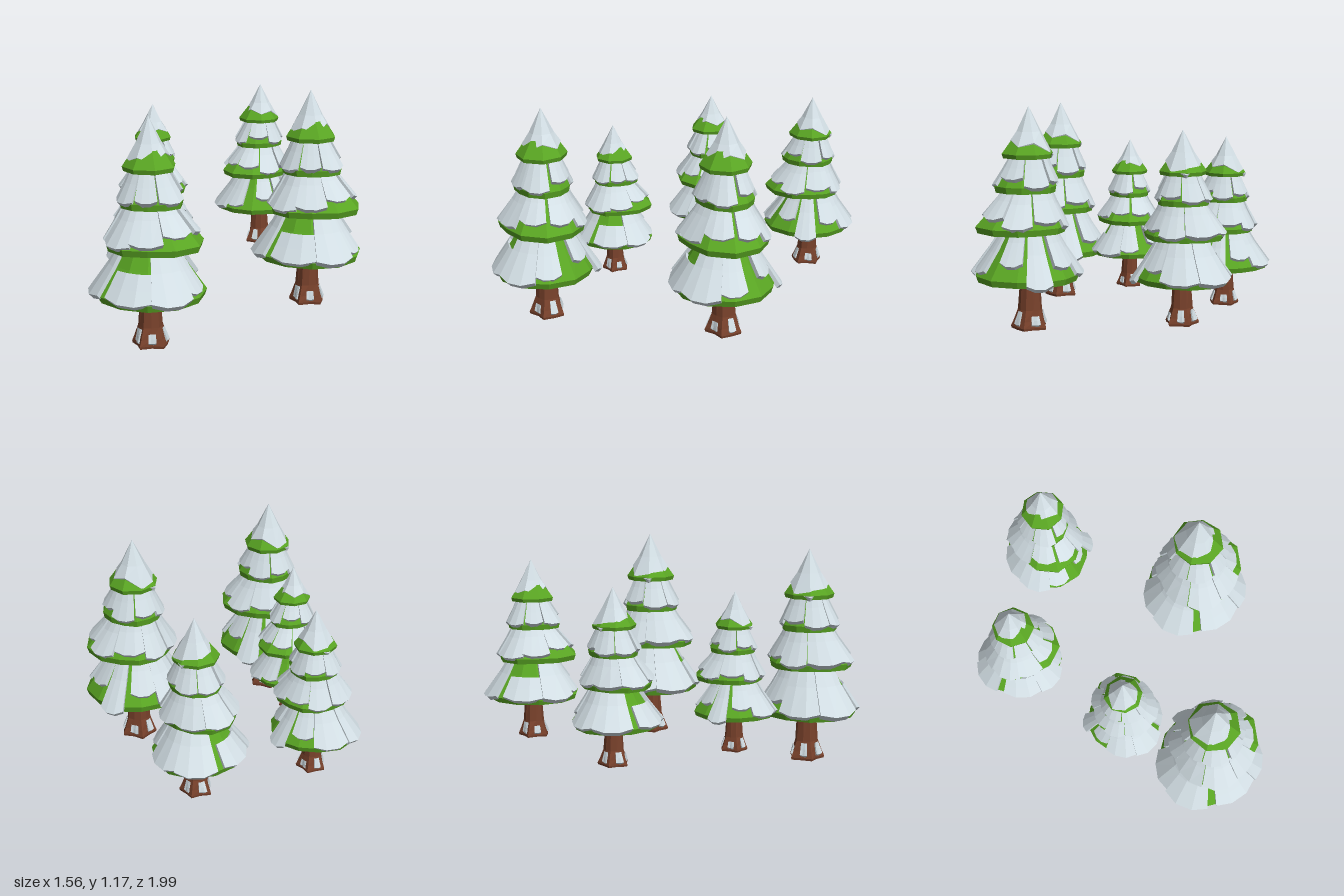
import * as THREE from 'three';

const flat = (name, color) => {
  const m = new THREE.MeshStandardMaterial({ color, flatShading: true });
  m.name = name;
  return m;
};

// Point at azimuth deg (0 = front, 90 = +x), radius r, height y
const polar = (deg, r, y) => {
  const a = THREE.MathUtils.degToRad(deg);
  return [Math.sin(a) * r, y, Math.cos(a) * r];
};

// Value from a list spread evenly round the circle
const around = (list, deg) => {
  const f = ((((deg % 360) + 360) % 360) / 360) * list.length;
  const i = Math.floor(f) % list.length;
  return THREE.MathUtils.lerp(list[i], list[(i + 1) % list.length], f - Math.floor(f));
};

const quad = (out, a, b, c, d) => out.push(...a, ...b, ...c, ...a, ...c, ...d);

function toGeometry(positions) {
  const g = new THREE.BufferGeometry();
  g.setAttribute('position', new THREE.Float32BufferAttribute(positions, 3));
  g.computeVertexNormals();
  return g;
}

// Closed skin over rings listed from top to bottom
function loft(rings) {
  const out = [];
  for (let j = 0; j < rings.length - 1; j++) {
    const n = rings[j].length;
    for (let i = 0; i < n; i++) {
      const k = (i + 1) % n;
      quad(out, rings[j + 1][i], rings[j + 1][k], rings[j][k], rings[j][i]);
    }
  }
  return toGeometry(out);
}

const ring = (n, fn, turn = 0) => Array.from({ length: n }, (_, i) => {
  const deg = turn + (i * 360) / n;
  const [r, y] = fn(deg);
  return polar(deg, r, y);
});

// Thick curved plate lying on a surface (deg, t) -> [r, y]
function addPlate(out, surface, [mid, half, t0, t1], thick) {
  const degs = [-1, -0.35, 0.35, 1];
  const grid = (lift) => [0, 0.5, 1].map((f) => degs.map((d) => {
    const corner = f === 1 && Math.abs(d) === 1 ? 0.06 : 0;
    const t = THREE.MathUtils.lerp(t0, t1 - corner, f);
    const [r, y] = surface(mid + d * half, t);
    return polar(mid + d * half, r + lift * 0.7, y + lift * 0.75);
  }));
  const o = grid(thick), n = grid(-0.012);
  for (let j = 0; j < 2; j++) {
    for (let i = 0; i < 3; i++) {
      quad(out, o[j + 1][i], o[j + 1][i + 1], o[j][i + 1], o[j][i]);
      quad(out, n[j][i], n[j][i + 1], n[j + 1][i + 1], n[j + 1][i]);
    }
    quad(out, n[j + 1][0], o[j + 1][0], o[j][0], n[j][0]);
    quad(out, n[j][3], o[j][3], o[j + 1][3], n[j + 1][3]);
  }
  for (let i = 0; i < 3; i++) {
    quad(out, n[2][i], n[2][i + 1], o[2][i + 1], o[2][i]);
    quad(out, o[0][i], o[0][i + 1], n[0][i + 1], n[0][i]);
  }
}

// Branch tiers: rim radii run round from the front; plates are [azimuth, half width, start, end]
const TIERS = [
  { name: 'bottomTier', y0: 0.58, r0: 0.085, y1: 0.285, inner: 0.4,
    rim: [0.27, 0.28, 0.285, 0.28, 0.275, 0.255, 0.26, 0.25, 0.25, 0.27, 0.275, 0.27],
    plates: [[8, 27, 0.55, 1.04], [55, 21, 0.05, 1.06], [90, 15, 0.2, 0.95], [140, 15, 0, 0.78],
      [175, 14, 0, 1.14], [214, 17, 0, 0.84], [257, 25, 0, 1.04], [306, 25, 0, 1.07]] },
  { name: 'lowerTier', y0: 0.78, r0: 0.07, y1: 0.535, inner: 0.6,
    rim: [0.24, 0.23, 0.26, 0.28, 0.26, 0.23, 0.2, 0.2, 0.19, 0.18, 0.2, 0.23],
    plates: [[-15, 24, 0, 1.02], [28, 20, 0, 0.97], [70, 20, 0, 0.8], [112, 17, 0.1, 0.84],
      [150, 19, 0, 1], [196, 24, 0, 0.92], [243, 22, 0, 1.05], [293, 27, 0, 1.04]] },
  { name: 'upperTier', y0: 0.94, r0: 0.055, y1: 0.735, inner: 0.8,
    rim: [0.155, 0.15, 0.165, 0.18, 0.165, 0.15, 0.14, 0.15, 0.14, 0.14, 0.145, 0.155],
    plates: [[-22, 25, 0.1, 1.05], [27, 19, 0.3, 1.02], [74, 24, 0.25, 1.03], [128, 24, 0.3, 0.85],
      [180, 25, 0.1, 1.04], [232, 24, 0.1, 0.95], [285, 26, 0, 1.06]] },
];

// Roots flare out in lobes
const ROOT = [0.1, 0.07, 0.1, 0.085, 0.098, 0.07, 0.1, 0.075, 0.095, 0.07];

function createTree(mats) {
  const tree = new THREE.Group();
  const add = (name, geometry, material) => {
    const mesh = new THREE.Mesh(geometry, material);
    mesh.name = name;
    tree.add(mesh);
  };

  // Trunk with flared roots
  const lobe = (deg) => around(ROOT, deg);
  add('trunk', loft([
    ring(10, () => [0.035, 0.7]),
    ring(10, () => [0.05, 0.27]),
    ring(10, (d) => [0.042 + lobe(d) * 0.22, 0.1]),
    ring(10, (d) => [0.02 + lobe(d) * 0.65, 0.045]),
    ring(10, (d) => [lobe(d), 0.012]),
    ring(10, (d) => [lobe(d) * 0.97, 0]),
    ring(10, () => [0, 0]),
  ]), mats.bark);

  // Snow caught on the roots
  const rootSnow = [];
  const rootSurface = (d, t) => [0.058 + (lobe(d) - 0.062) * t, 0.085 - 0.07 * t];
  [[-28, 16], [38, 14], [110, 13], [185, 16], [258, 14]].forEach(([mid, half], i) =>
    addPlate(rootSnow, rootSurface, [mid, half, i % 2 ? 0.3 : 0, 0.95], 0.011));
  add('rootSnow', toGeometry(rootSnow), mats.snow);

  // Green skirts with overlapping snow plates
  for (const { name, y0, r0, y1, inner, rim, plates } of TIERS) {
    const surface = (d, t) => [
      r0 + (around(rim, d) - r0) * t,
      y0 - (y0 - y1) * Math.pow(t, 0.88),
    ];
    add(name, loft([
      ring(12, () => [0, y0 + 0.01]),
      ring(12, (d) => surface(d, 0)),
      ring(12, (d) => surface(d, 0.5)),
      ring(12, (d) => surface(d, 1)),
      ring(12, (d) => [around(rim, d) * 0.96, y1 - 0.032]),
      ring(12, (d) => [around(rim, d) * 0.6, y1 + (inner - y1) * 0.45]),
      ring(12, () => [0.03, inner]),
    ]), mats.needles);
    const snow = [];
    plates.forEach((p, i) => addPlate(snow, surface, p, i % 2 ? 0.02 : 0.012));
    add(name + 'Snow', toGeometry(snow), mats.snow);
  }

  // Pointed top with a ragged snow cap
  const tipRim = [0.135, 0.14, 0.14, 0.13, 0.13, 0.125, 0.125, 0.13];
  add('treetop', loft([
    ring(8, () => [0, 1.1]),
    ring(8, (d) => [around(tipRim, d) * 0.6, 0.97]),
    ring(8, (d) => [around(tipRim, d), 0.895]),
    ring(8, (d) => [around(tipRim, d) * 0.95, 0.873]),
    ring(8, () => [0.03, 0.92]),
  ]), mats.needles);
  const capReach = [0.75, 0.84, 0.68, 0.8, 0.72, 0.92, 1, 0.88];
  add('snowCap', loft([
    ring(8, () => [0, 1.13]),
    ring(8, (d) => [0.063, 1.005]),
    ring(8, (d) => [0.02 + 0.108 * around(capReach, d), 1.13 - 0.245 * around(capReach, d)]),
    ring(8, (d) => [0.012 + 0.105 * around(capReach, d), 1.11 - 0.245 * around(capReach, d)]),
    ring(8, () => [0, 1.0]),
  ]), mats.snow);
  return tree;
}

export function createModel() {
  const mats = {
    snow: flat('snow', 0xd3dfe5),
    needles: flat('needles', 0x5aa623),
    bark: flat('bark', 0x78412b),
  };
  const grove = new THREE.Group();
  grove.name = 'snowyGrove';

  // Each tree: x, y, z, width scale, height scale, turn in degrees
  [
    [0.05, 0.005, 0.71, 1, 1, 0],
    [0.48, 0.045, -0.16, 1, 1, 0],
    [-0.55, 0.12, -0.27, 0.82, 0.78, -32],
    [-0.235, 0.12, 0.32, 0.75, 0.73, 69],
    [-0.11, 0.155, -0.74, 0.86, 0.825, -103],
  ].forEach(([x, y, z, w, h, turn], i) => {
    const tree = createTree(mats);
    tree.name = 'tree' + (i + 1);
    tree.position.set(x, y, z);
    tree.scale.set(w, h, w);
    tree.rotation.y = THREE.MathUtils.degToRad(turn);
    grove.add(tree);
  });
  return grove;
}
